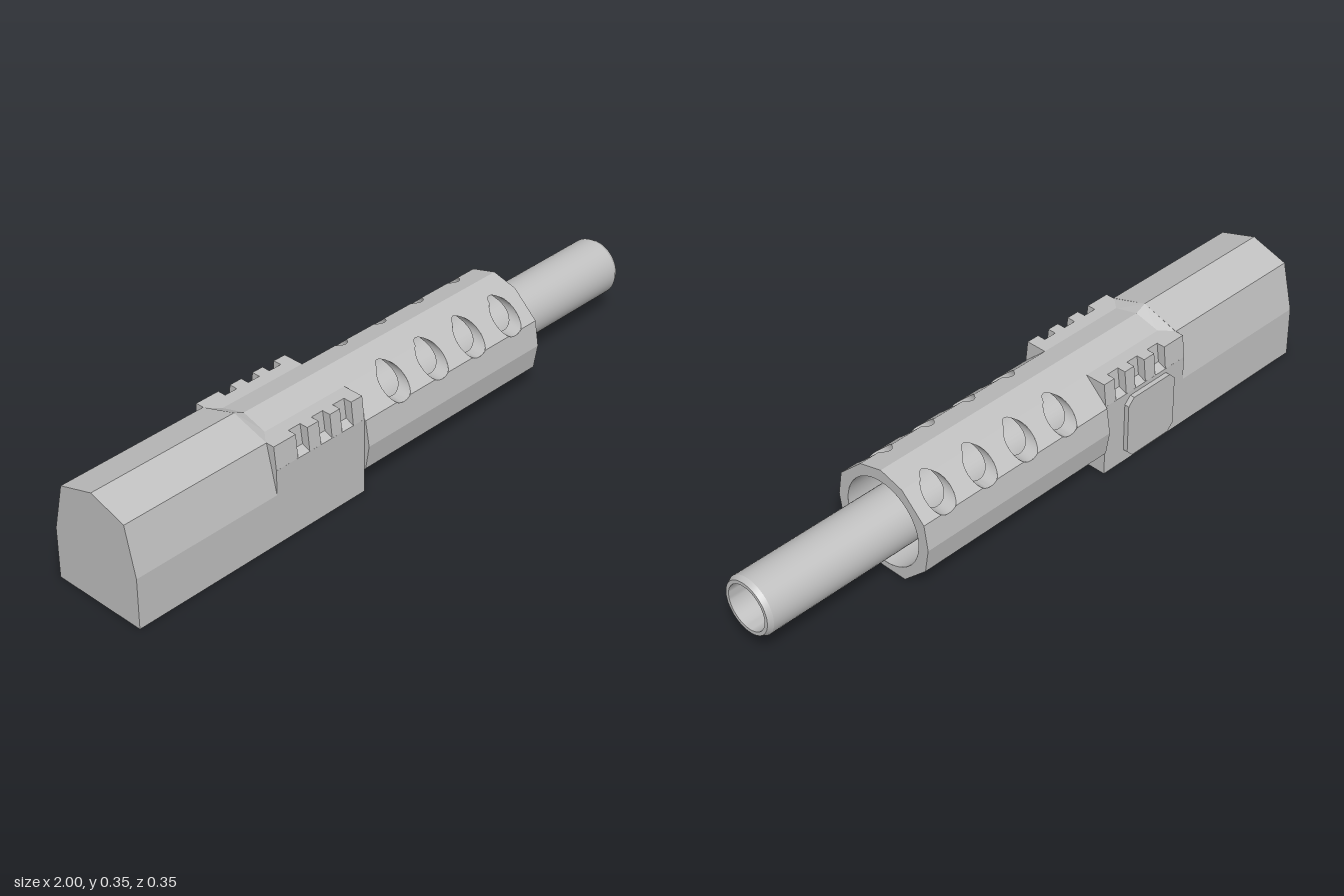
import * as THREE from 'three';
import { toCreasedNormals } from 'three/addons/utils/BufferGeometryUtils.js';
import { ConvexGeometry } from 'three/addons/geometries/ConvexGeometry.js';

const AXIS = 0.156, BORE = 0.137;             // bore axis height and shroud bore radius
const HOLE_Y = 0.271, HOLE_R = 0.045;         // cross-drilled vents
const HOLES = [-0.03, 0.125, 0.28, 0.435];
const X0 = -0.18, X1 = 0.525;                 // shroud ends

// right half of the shroud section, bottom to top, as [z, y]
const SHROUD = [[0.078, 0], [0.16, 0.078], [0.173, 0.156], [0.16, 0.235], [0.08, 0.31], [0, 0.332]];

const mirrored = half => [...half, ...half.filter(p => p[0] > 0).reverse().map(([z, y]) => [-z, y])];

function section(points, bored) {
  const shape = new THREE.Shape(points.map(([z, y]) => new THREE.Vector2(-z, y)));
  if (bored) shape.holes.push(new THREE.Path().absarc(0, AXIS, BORE, 0, Math.PI * 2, true));
  return shape;
}

// extrude a [z, y] section along x
function prism(points, xa, xb, bored = false) {
  return new THREE.ExtrudeGeometry(section(points, bored), { depth: xb - xa, bevelEnabled: false, curveSegments: 40 })
    .rotateY(Math.PI / 2).translate(xa, 0, 0);
}

const holeHalf = y => Math.sqrt(Math.max(0, HOLE_R ** 2 - (y - HOLE_Y) ** 2));
const boreZ = y => Math.sqrt(Math.max(0, BORE ** 2 - (y - AXIS) ** 2));
function outerZ(y) {
  for (let i = 1; i < SHROUD.length; i++) {
    const [za, ya] = SHROUD[i - 1], [zb, yb] = SHROUD[i];
    if (y <= yb) return za + (zb - za) * (y - ya) / (yb - ya);
  }
  return 0;
}

function quadMesh(quads) {
  const pos = [];
  for (const [a, b, c, d] of quads) pos.push(...a, ...b, ...c, ...a, ...c, ...d);
  const g = new THREE.BufferGeometry();
  g.setAttribute('position', new THREE.Float32BufferAttribute(pos, 3));
  g.computeVertexNormals();
  return g;
}

// horizontal strips of a wall z(y), interrupted where the vents pass
function wall(rows, zOf, side, outward) {
  const quads = [];
  for (let i = 1; i < rows.length; i++) {
    const [ya, yb] = [rows[i - 1], rows[i]];
    for (let k = 0; k <= HOLES.length; k++) {
      const left = y => k === 0 ? X0 : HOLES[k - 1] + holeHalf(y);
      const right = y => k === HOLES.length ? X1 : HOLES[k] - holeHalf(y);
      const q = [[left(ya), ya], [right(ya), ya], [right(yb), yb], [left(yb), yb]]
        .map(([x, y]) => [x, y, side * zOf(y)]);
      quads.push((side > 0) === outward ? q : q.reverse());
    }
  }
  return quads;
}

// tunnel walls of one vent, from the outer face in to the bore
function tunnel(cx, side) {
  const quads = [], n = 32;
  const pt = i => {
    const a = i / n * Math.PI * 2;
    return [cx + HOLE_R * Math.cos(a), HOLE_Y + HOLE_R * Math.sin(a)];
  };
  for (let i = 0; i < n; i++) {
    const [a, b] = [pt(i), pt(i + 1)];
    const q = [[...a, side * outerZ(a[1])], [...b, side * outerZ(b[1])],
      [...b, side * boreZ(b[1])], [...a, side * boreZ(a[1])]];
    quads.push(side > 0 ? q : q.reverse());
  }
  return quads;
}

export function createModel() {
  const model = new THREE.Group();
  const grey = new THREE.MeshStandardMaterial({ color: 0xc0c0c0, side: THREE.DoubleSide });
  grey.name = 'light grey';
  const add = (name, geometry) => {
    const mesh = new THREE.Mesh(geometry, grey);
    mesh.name = name;
    model.add(mesh);
  };

  // rear housing with a pitched top
  add('rearHousing', prism(mirrored([[0.155, 0], [0.155, 0.16], [0.12, 0.31], [0, 0.348]]), -1, -0.51));

  // front housing, bored, with a narrower upper part
  add('frontHousing', prism(mirrored([[0.155, 0], [0.155, 0.238], [0.128, 0.25], [0.12, 0.31], [0.08, 0.31], [0, 0.332]]),
    -0.51, X0, true));

  // slope that steps the roof down
  const step = [[-0.51, 0.12, 0.348], [-0.475, 0.08, 0.332]].flatMap(([x, z, top]) => [
    new THREE.Vector3(x, top, 0), new THREE.Vector3(x, 0.309, z), new THREE.Vector3(x, 0.309, -z)]);
  add('roofStep', new ConvexGeometry(step));

  // grip ribs on both sides
  for (const side of [1, -1]) {
    for (const [xa, xb] of [[-0.51, -0.43], [-0.387, -0.345], [-0.303, -0.265], [-0.222, X0]]) {
      const rib = [[0.155, 0.237], [0.147, 0.31], [0.11, 0.31], [0.12, 0.237]].map(([z, y]) => [z * side, y]);
      add('gripRib', prism(rib, xa, xb));
    }
  }

  // side plate with clipped corners
  const [px0, px1, py0, py1, c] = [-0.455, -0.26, 0.02, 0.224, 0.022];
  const plate = new THREE.Shape([[px0 + c, py0], [px1 - c, py0], [px1, py0 + c], [px1, py1 - c],
    [px1 - c, py1], [px0 + c, py1], [px0, py1 - c], [px0, py0 + c]].map(p => new THREE.Vector2(...p)));
  add('sidePlate', new THREE.ExtrudeGeometry(plate, { depth: 0.157, bevelEnabled: false }).translate(0, 0, -0.17));

  // vented shroud: outer faces, bore, vent tunnels and end rings
  const vents = Array.from({ length: 25 }, (_, i) => HOLE_Y - HOLE_R * Math.cos(i / 24 * Math.PI));
  const sorted = list => [...new Set(list)].sort((a, b) => a - b);
  const outerRows = sorted([...SHROUD.map(p => p[1]), ...vents]);
  const arc = Array.from({ length: 25 }, (_, i) => AXIS - BORE * Math.cos(i / 24 * Math.PI));
  const boreRows = sorted([...arc, ...vents.filter(y => y < AXIS + BORE)]);
  const outer = [], bore = [], tunnels = [];
  outer.push([[X0, 0, -0.078], [X1, 0, -0.078], [X1, 0, 0.078], [X0, 0, 0.078]]);
  for (const side of [1, -1]) {
    outer.push(...wall(outerRows, outerZ, side, true));
    bore.push(...wall(boreRows, boreZ, side, false));
    for (const cx of HOLES) tunnels.push(...tunnel(cx, side));
  }
  add('shroud', quadMesh(outer));
  add('shroudBore', toCreasedNormals(quadMesh(bore), 0.5));
  add('shroudVents', toCreasedNormals(quadMesh(tunnels), 0.5));
  const ring = () => new THREE.ShapeGeometry(section(mirrored(SHROUD), true), 40);
  add('shroudFrontRing', ring().rotateY(Math.PI / 2).translate(X1, 0, 0));
  add('shroudRearRing', ring().rotateY(-Math.PI / 2).translate(X0, 0, 0));

  // hollow barrel with a chamfered muzzle
  const profile = [[0, -0.5], [0.089, -0.5], [0.089, 0.985], [0.081, 1], [0.07, 1], [0.07, 0.4], [0, 0.4]];
  const barrel = new THREE.LatheGeometry(profile.map(p => new THREE.Vector2(...p)), 48);
  add('barrel', toCreasedNormals(barrel, 0.4).rotateZ(-Math.PI / 2).translate(0, AXIS, 0));

  return model;
}
